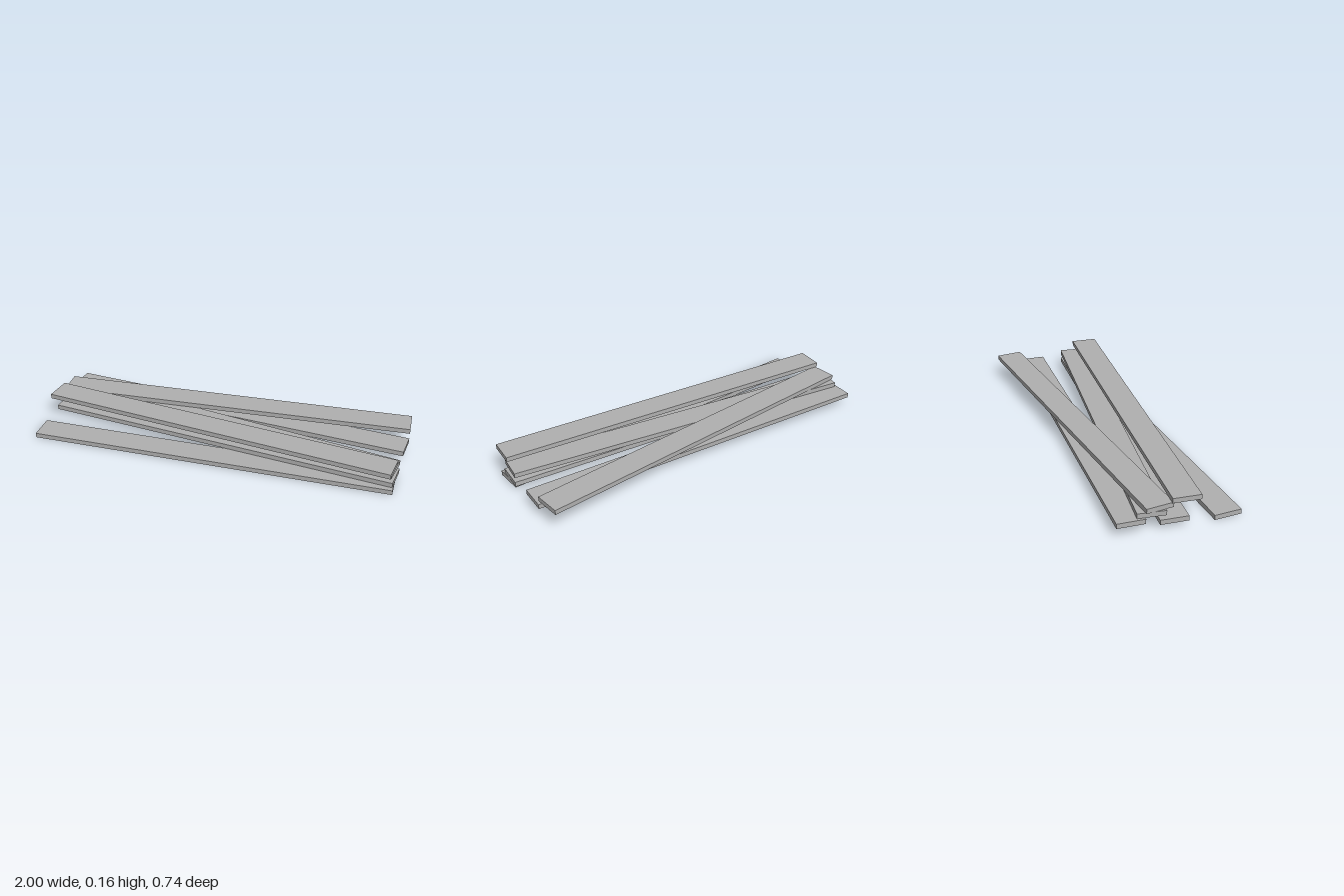
import * as THREE from 'three';

const LENGTH = 1.995, THICK = 0.026, WIDTH = 0.1455, PITCH = 0.0265;

// Shallow board shell: top and four sides, open underneath
function boardGeometry() {
  const g = new THREE.BoxGeometry(LENGTH, THICK, WIDTH);
  const index = Array.from(g.index.array);
  index.splice(18, 6); // drop the bottom face
  g.setIndex(index);
  g.clearGroups();
  return g;
}

export function createModel() {
  const model = new THREE.Group();
  model.name = 'plankStack';
  const wood = new THREE.MeshStandardMaterial({ color: 0xb0b0b0, side: THREE.DoubleSide });
  wood.name = 'plainGrey';
  const geometry = boardGeometry();

  // Bottom to top: [centre z, z drop from the right end to the left end]
  const planks = [
    [0.2225, 0.148],
    [0.07, -0.105],
    [-0.1735, -0.057],
    [0.0125, -0.22],
    [-0.1755, 0.24],
    [0.1415, -0.127],
  ];
  planks.forEach(([z, drop], i) => {
    const plank = new THREE.Mesh(geometry, wood);
    plank.name = `plank${i + 1}`;
    plank.position.set(0, THICK / 2 + i * PITCH, z);
    plank.rotation.y = Math.asin(drop / LENGTH);
    model.add(plank);
  });
  return model;
}
